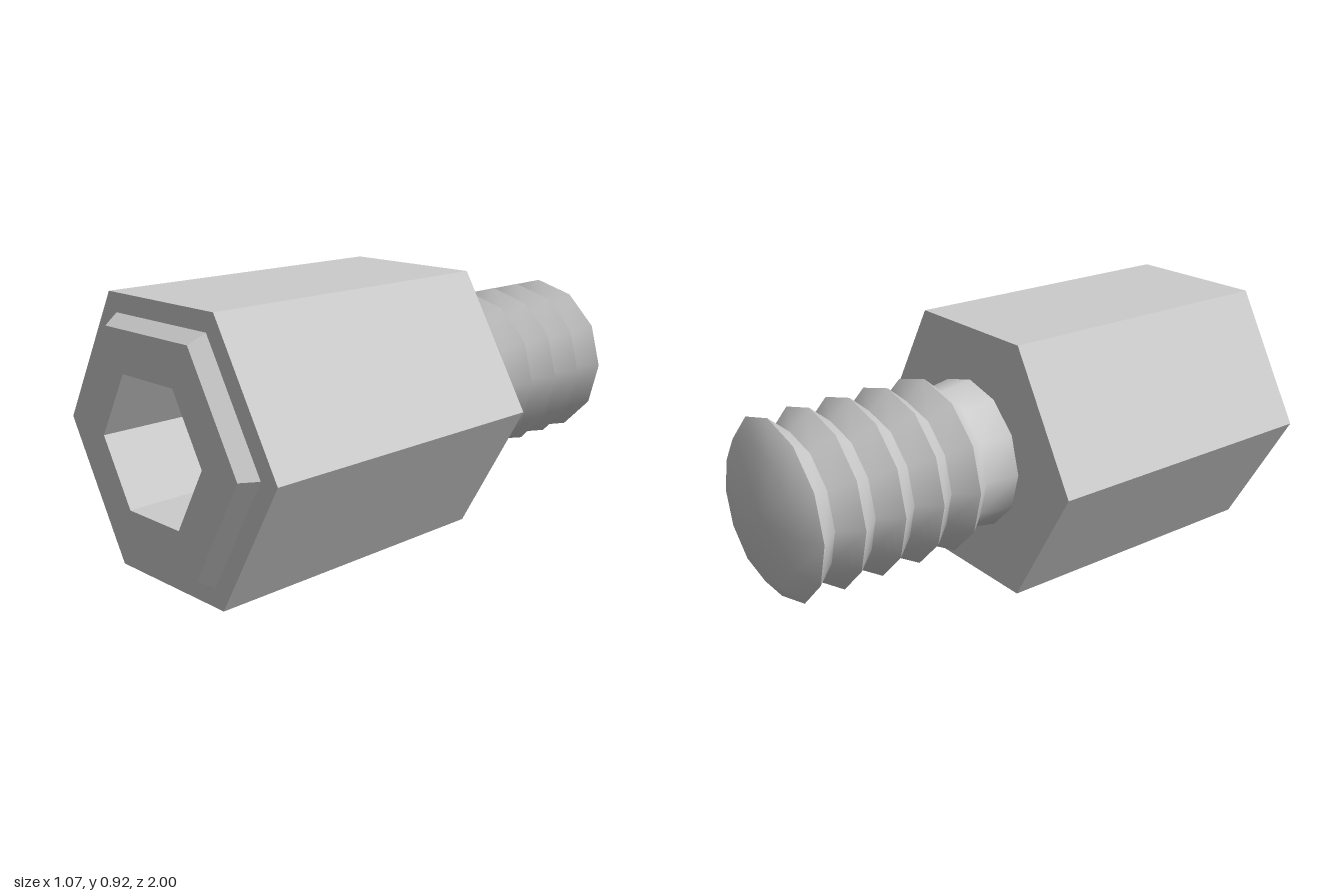
import * as THREE from 'three';
import { toCreasedNormals } from 'three/addons/utils/BufferGeometryUtils.js';

// Revolve a [radius, z] profile (running front to back) about the z axis
function turned(profile, sides, start = 0) {
  const points = profile.map(([r, z]) => new THREE.Vector2(r, -z));
  return new THREE.LatheGeometry(points, sides, start).rotateX(-Math.PI / 2);
}

export function createModel() {
  const group = new THREE.Group();
  const centreY = 0.4616;

  function add(name, geometry, flatShading) {
    const material = new THREE.MeshStandardMaterial({ color: 0xcccccc, flatShading });
    const mesh = new THREE.Mesh(geometry, material);
    mesh.name = name;
    mesh.position.y = centreY;
    group.add(mesh);
  }

  // Hexagonal body: blind bore, raised chamfered front collar, flat back
  const bodyProfile = [
    [0, -0.1], [0.258, -0.1], [0.258, 0.945], [0.258, 1],
    [0.422, 1], [0.459, 0.945], [0.533, 0.945], [0.533, -0.167], [0, -0.167],
  ];
  add('hexBody', toCreasedNormals(turned(bodyProfile, 6, Math.PI / 2), 0.2), true);

  // Threaded stud: tapered neck, five sharp crests, chamfered tip
  const crests = 5, pitch = 0.147, firstCrest = -0.357;
  const studProfile = [[0.272, -0.167], [0.252, -0.285]];
  for (let i = 0; i < crests; i++) {
    const z = firstCrest - i * pitch;
    studProfile.push([0.314, z]);
    if (i < crests - 1) studProfile.push([0.25, z - pitch / 2]);
  }
  studProfile.push([0.24, -1], [0, -1]);
  add('threadedStud', toCreasedNormals(turned(studProfile, 12), Math.PI / 3), false);

  return group;
}
